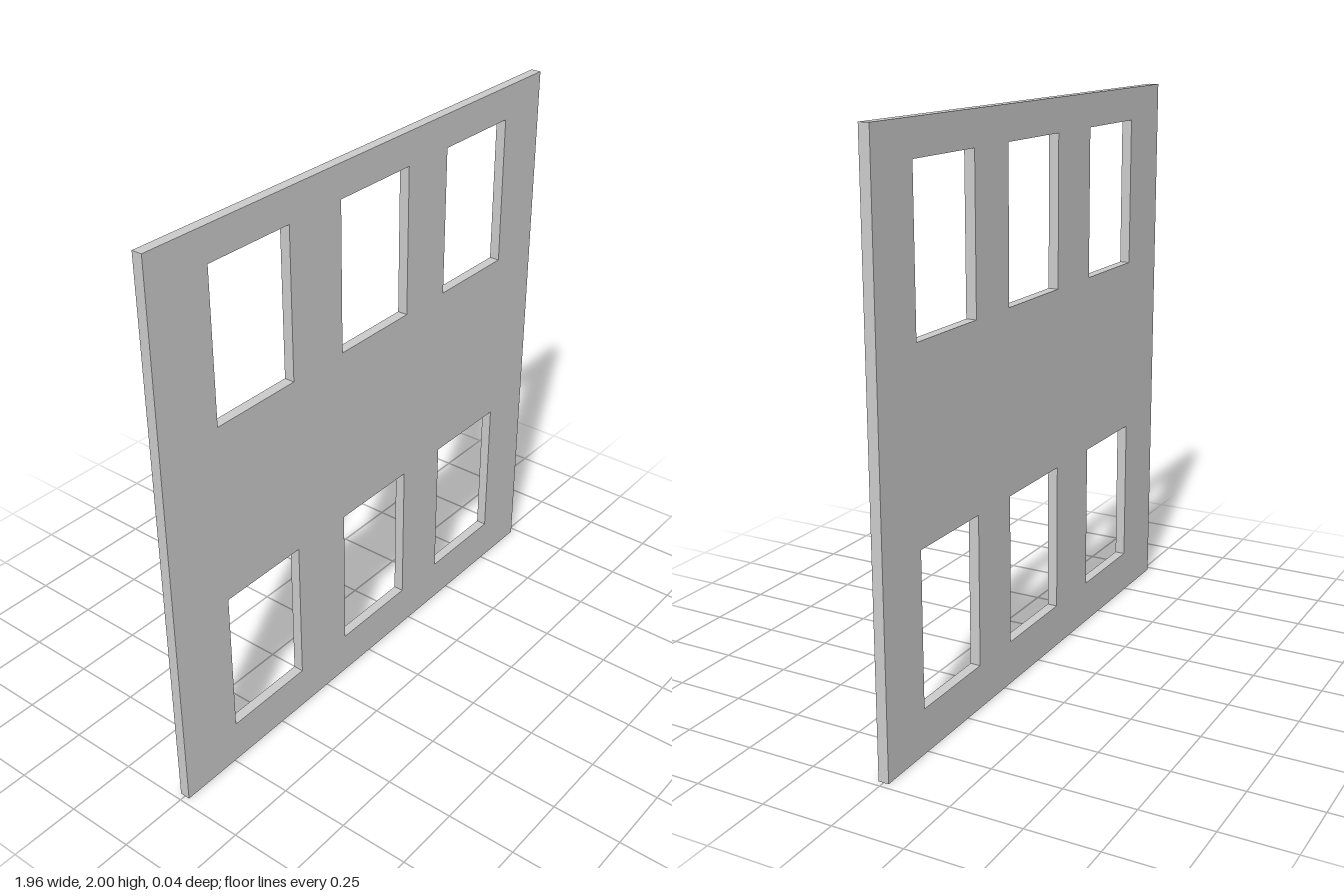
import * as THREE from 'three';

const WIDTH = 1.956, HEIGHT = 2, DEPTH = 0.037;
const OPENING_W = 0.349, OPENING_H = 0.536;
const COLUMNS = [-0.735, -0.143, 0.418]; // left edge of each opening
const ROWS = [0.157, 1.345]; // sill height of each row

// Traces a rectangle from its lower-left corner
function rectangle(path, x, y, w, h) {
  path.moveTo(x, y);
  path.lineTo(x + w, y);
  path.lineTo(x + w, y + h);
  path.lineTo(x, y + h);
  path.closePath();
  return path;
}

export function createModel() {
  const group = new THREE.Group();
  group.name = 'windowWall';

  // Wall outline with two rows of three window openings
  const outline = rectangle(new THREE.Shape(), -WIDTH / 2, 0, WIDTH, HEIGHT);
  for (const y of ROWS) {
    for (const x of COLUMNS) {
      outline.holes.push(rectangle(new THREE.Path(), x, y, OPENING_W, OPENING_H));
    }
  }

  // Thin slab, centred on z = 0
  const geometry = new THREE.ExtrudeGeometry(outline, { depth: DEPTH, bevelEnabled: false });
  geometry.translate(0, 0, -DEPTH / 2);

  const wall = new THREE.Mesh(geometry, new THREE.MeshStandardMaterial({ color: 0xcccccc }));
  wall.name = 'wallPanel';
  group.add(wall);
  return group;
}
